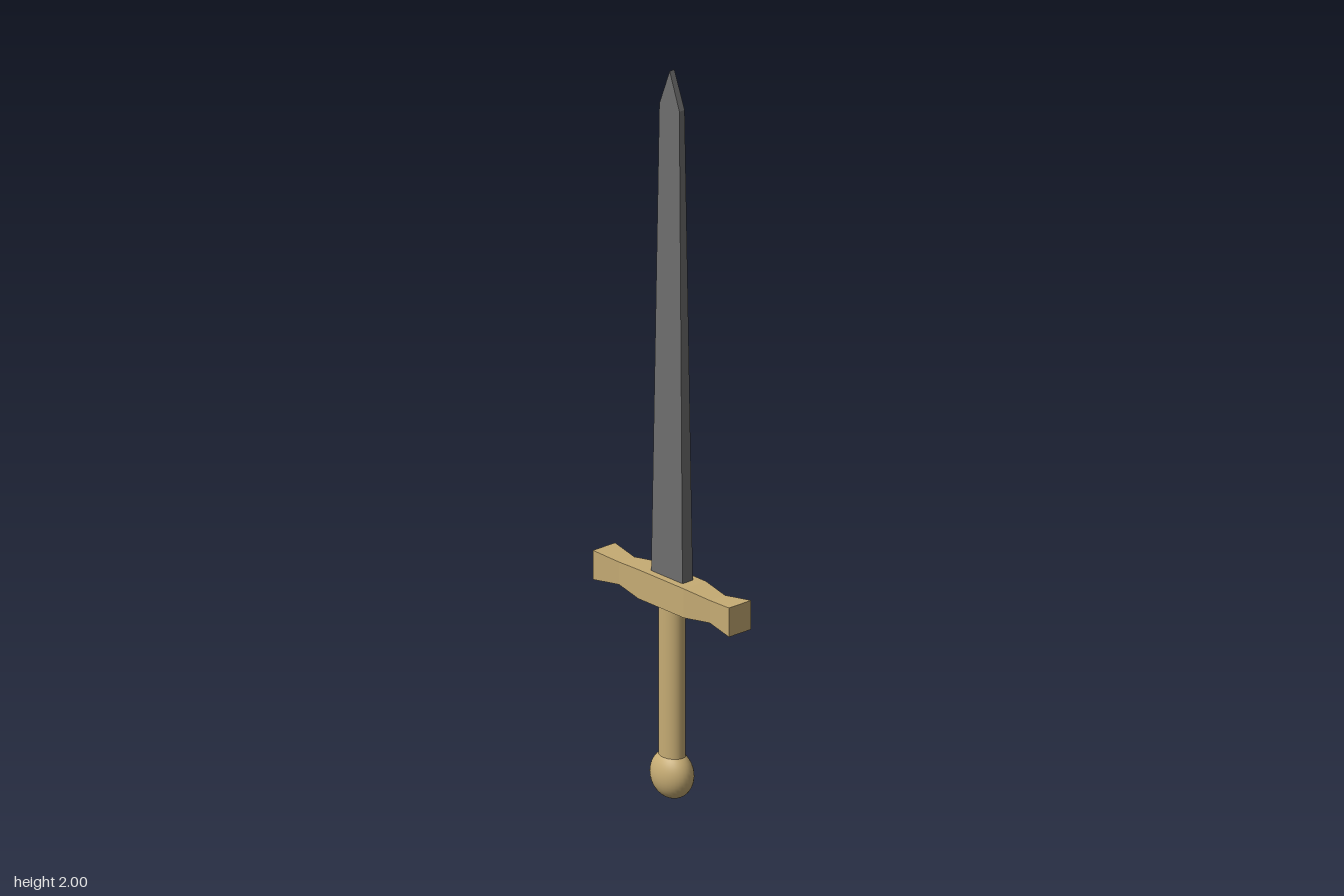
import * as THREE from 'three';

const brass = new THREE.MeshStandardMaterial({ color: 0xc6ac74 });
brass.name = 'brass';
const steel = new THREE.MeshStandardMaterial({ color: 0x6e6e6e });
steel.name = 'steel';

// Box of half-size 1 reshaped by a rule, with flat facets
function shapedBox(segX, segY, rule) {
  const geo = new THREE.BoxGeometry(2, 2, 2, segX, segY, 1).toNonIndexed();
  const pos = geo.attributes.position;
  for (let i = 0; i < pos.count; i++) {
    pos.setXYZ(i, ...rule(pos.getX(i), pos.getY(i), pos.getZ(i)));
  }
  geo.computeVertexNormals();
  return geo;
}

export function createModel() {
  const sword = new THREE.Group();
  sword.name = 'sword';
  const add = (name, geo, material, y) => {
    const mesh = new THREE.Mesh(geo, material);
    mesh.name = name;
    mesh.position.y = y;
    sword.add(mesh);
    return mesh;
  };

  // Tapering blade: [height, half width, half depth] at base, shoulder and tip
  const bladeSections = [[0.57, 0.06, 0.018], [1.9, 0.038, 0.009], [2, 0, 0.008]];
  add('blade', shapedBox(1, 2, (x, y, z) => {
    const [h, w, d] = bladeSections[Math.round(y + 1)];
    return [x * w, h, z * d];
  }), steel, 0);

  // Crossguard: [x, half height, half depth] from the middle outwards, mirrored
  const guardSections = [[0, 0.04, 0.038], [0.086, 0.04, 0.038], [0.172, 0.031, 0.026], [0.258, 0.04, 0.038]];
  add('crossguard', shapedBox(6, 1, (x, y, z) => {
    const [w, h, d] = guardSections[Math.round(Math.abs(x) * 3)];
    return [Math.sign(x) * w, y * h, z * d];
  }), brass, 0.57);

  // Oval grip
  add('grip', new THREE.CylinderGeometry(0.04, 0.04, 0.44, 32), brass, 0.335).scale.z = 0.75;

  // Flattened round pommel
  add('pommel', new THREE.SphereGeometry(0.066, 32, 20), brass, 0.066).scale.z = 0.73;

  return sword;
}
